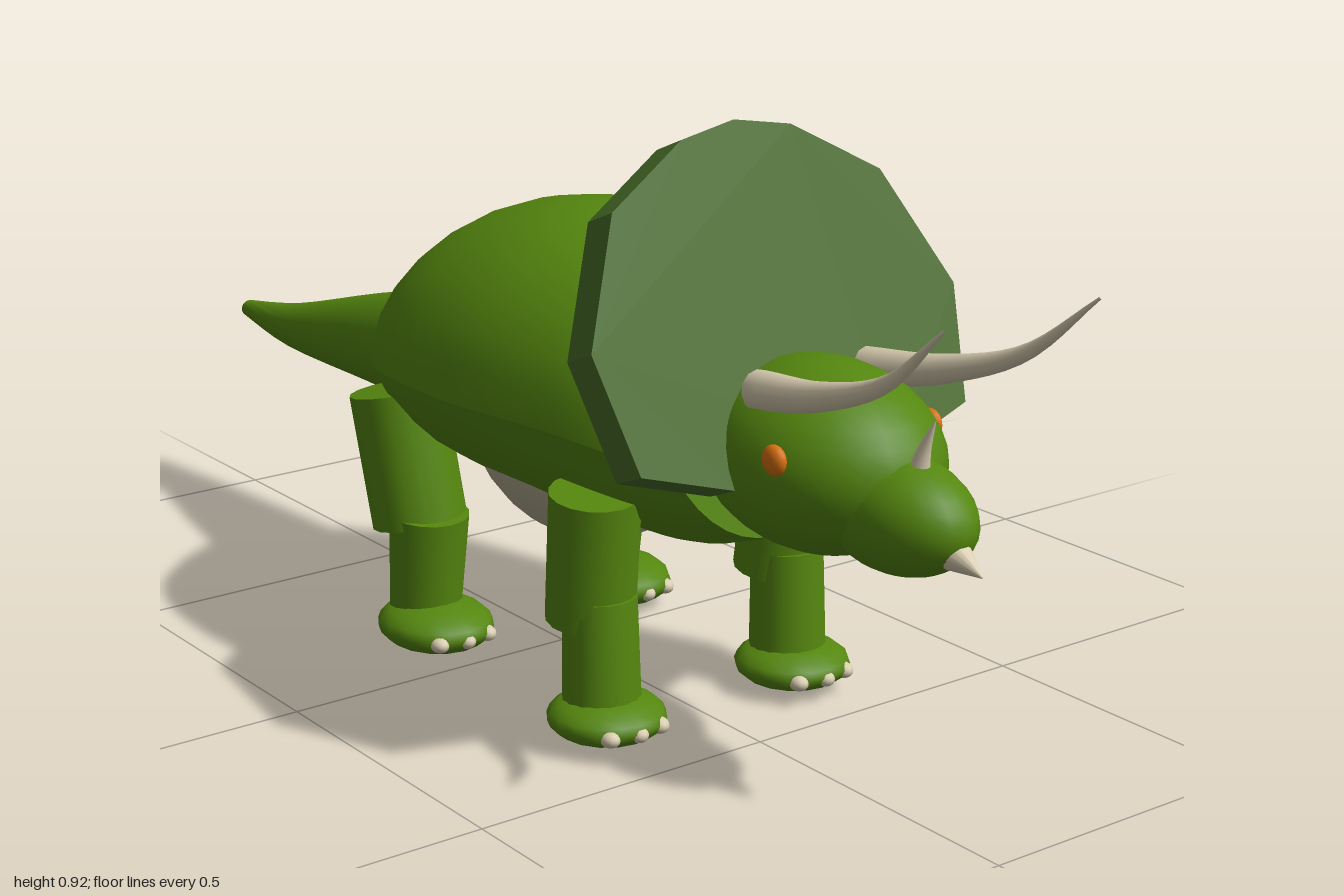
import * as THREE from 'three';
import { toCreasedNormals } from 'three/addons/utils/BufferGeometryUtils.js';

const mat = (name, color) => {
  const m = new THREE.MeshStandardMaterial({ color });
  m.name = name;
  return m;
};

// Skin through cross-sections running front to back.
// Row: [zTop, zBottom, yTop, yBottom, yWidest, halfWidth]; flat narrows the lower half into a ridge.
function loft(rows, flat, sub = 4, half = 14) {
  const n = half * 2, pos = [], idx = [], steps = (rows.length - 1) * sub;
  const cols = rows[0].map((_, c) => new THREE.SplineCurve(rows.map((r, i) => new THREE.Vector2(i, r[c]))));
  const mids = [];
  for (let i = 0; i <= steps; i++) {
    const [zt, zb, yt, yb, yc, w] = cols.map(c => c.getPoint(i / steps).y);
    const zAt = y => zb + (zt - zb) * (y - yb) / (yt - yb);
    for (let j = 0; j < n; j++) {
      let x, y;
      if (j <= half) {
        const a = Math.PI * j / half;
        x = w * Math.cos(a);
        y = yc + (yt - yc) * Math.sin(a);
      } else {
        const a = flat + (Math.PI - 2 * flat) * (j - half) / half;
        x = -w * Math.cos(a) / Math.cos(flat);
        y = yc - (yc - yb) * (Math.sin(a) - Math.sin(flat)) / (1 - Math.sin(flat));
      }
      pos.push(x, y, zAt(y));
    }
    mids.push([0, yc, zAt(yc)]);
  }
  for (let i = 0; i < steps; i++) for (let j = 0; j < n; j++) {
    const a = i * n + j, b = i * n + (j + 1) % n;
    idx.push(a, a + n, b, b, a + n, b + n);
  }
  // end caps
  const f = pos.length / 3, k = steps * n;
  pos.push(...mids[0], ...mids[steps]);
  for (let j = 0; j < n; j++) {
    const m = (j + 1) % n;
    idx.push(f, j, m, f + 1, k + m, k + j);
  }
  const g = new THREE.BufferGeometry();
  g.setAttribute('position', new THREE.Float32BufferAttribute(pos, 3));
  g.setIndex(idx);
  return toCreasedNormals(g, 0.42);
}

// Curved horn narrowing to a point
function hornGeometry(points, radius, segs = 16, sides = 12) {
  const curve = new THREE.CatmullRomCurve3(points.map(p => new THREE.Vector3(...p)));
  const g = new THREE.TubeGeometry(curve, segs, radius, sides), p = g.attributes.position;
  const v = new THREE.Vector3();
  for (let i = 0; i < p.count; i++) {
    const t = Math.floor(i / (sides + 1)) / segs, c = curve.getPointAt(t);
    v.fromBufferAttribute(p, i).sub(c).multiplyScalar(1 - 0.93 * t).add(c);
    p.setXYZ(i, v.x, v.y, v.z);
  }
  g.computeVertexNormals();
  return g;
}

export function createModel() {
  const model = new THREE.Group();
  model.name = 'hornedDinosaur';
  const skin = mat('skin green', 0x55870f);
  const frillMat = mat('frill green', 0x486b28);
  const ivory = mat('ivory', 0xd8ccb0);
  const bellyMat = mat('belly', 0xb4ae92);
  const orange = mat('eye orange', 0xd8700e);

  const add = (name, geo, m, parent = model) => {
    const mesh = new THREE.Mesh(geo, m);
    mesh.name = name;
    parent.add(mesh);
    return mesh;
  };
  const ball = (name, m, c, r, parent, ws = 24, hs = 16) => {
    const s = add(name, new THREE.SphereGeometry(1, ws, hs), m, parent);
    s.position.set(...c);
    s.scale.set(...r);
    return s;
  };
  // Straight cylinder or cone between two points
  const limb = (name, m, a, b, ra, rb, parent) => {
    const A = new THREE.Vector3(...a), B = new THREE.Vector3(...b), d = A.clone().sub(B);
    const s = add(name, new THREE.CylinderGeometry(ra, rb, d.length(), 16), m, parent);
    s.position.copy(A).add(B).multiplyScalar(0.5);
    s.quaternion.setFromUnitVectors(new THREE.Vector3(0, 1, 0), d.normalize());
    return s;
  };

  // Torso and tail
  add('body', loft([
    [0.46, 0.52, 0.61, 0.33, 0.45, 0.165],
    [0.40, 0.42, 0.66, 0.293, 0.465, 0.212],
    [0.29, 0.29, 0.718, 0.283, 0.478, 0.25],
    [0.09, 0.09, 0.75, 0.283, 0.48, 0.287],
    [-0.10, -0.09, 0.71, 0.283, 0.475, 0.275],
    [-0.245, -0.2, 0.618, 0.282, 0.45, 0.215],
    [-0.36, -0.29, 0.522, 0.282, 0.405, 0.115],
  ], 0.5), skin);
  ball('belly', bellyMat, [0, 0.41, 0.08], [0.18, 0.2, 0.225], model);
  add('tail', loft([
    [-0.33, -0.27, 0.52, 0.312, 0.415, 0.112],
    [-0.54, -0.52, 0.467, 0.31, 0.388, 0.085],
    [-0.82, -0.81, 0.388, 0.305, 0.346, 0.045],
    [-1.0, -1.0, 0.355, 0.325, 0.34, 0.016],
  ], 0), skin);

  // Head
  const head = new THREE.Group();
  head.name = 'head';
  model.add(head);
  ball('skull', skin, [0, 0.483, 0.62], [0.155, 0.138, 0.2], head);
  ball('snout', skin, [0, 0.44, 0.78], [0.086, 0.084, 0.132], head);
  limb('beakTip', ivory, [0, 0.395, 0.945], [0, 0.415, 0.885], 0.001, 0.028, head);
  add('noseHorn', hornGeometry([[0, 0.5, 0.815], [0, 0.54, 0.825], [0, 0.588, 0.845]], 0.017), ivory, head);
  for (const s of [-1, 1]) {
    const side = s > 0 ? 'left' : 'right';
    add(side + 'BrowHorn', hornGeometry([
      [s * 0.1, 0.587, 0.6], [s * 0.113, 0.615, 0.74], [s * 0.125, 0.668, 0.88], [s * 0.138, 0.768, 0.998],
    ], 0.03), ivory, head);
    ball(side + 'Eye', orange, [s * 0.143, 0.517, 0.685], [0.013, 0.022, 0.022], head, 16, 12);
  }

  // Leaning neck frill: an angular slab
  const right = [[0, 0.266], [0.1, 0.248], [0.245, 0.163], [0.333, -0.022], [0.3, -0.198], [0.15, -0.245], [0, -0.25]];
  const outline = [...right, ...right.slice(1, -1).reverse().map(([x, y]) => [-x, y])];
  const shape = new THREE.Shape(outline.map(p => new THREE.Vector2(...p)));
  const slab = new THREE.ExtrudeGeometry(shape, { depth: 0.06, bevelEnabled: false });
  slab.translate(0, 0, -0.06);
  const frill = add('frill', slab, frillMat);
  frill.position.set(0, 0.68, 0.517);
  frill.rotation.x = -0.403;

  // Legs
  for (const s of [-1, 1]) for (const front of [true, false]) {
    const leg = new THREE.Group();
    leg.name = (s > 0 ? 'left' : 'right') + (front ? 'Front' : 'Rear') + 'Leg';
    model.add(leg);
    const footZ = front ? 0.36 : -0.1;
    if (front) {
      limb('upperLeg', skin, [s * 0.188, 0.385, 0.34], [s * 0.18, 0.183, 0.318], 0.069, 0.068, leg);
      limb('lowerLeg', skin, [s * 0.18, 0.225, 0.342], [s * 0.18, 0.05, 0.348], 0.056, 0.06, leg);
    } else {
      limb('upperLeg', skin, [s * 0.195, 0.417, -0.182], [s * 0.18, 0.203, -0.142], 0.077, 0.077, leg);
      limb('lowerLeg', skin, [s * 0.18, 0.225, -0.115], [s * 0.18, 0.05, -0.13], 0.065, 0.058, leg);
    }
    ball('foot', skin, [s * 0.18, 0.041, footZ], [0.091, front ? 0.037 : 0.041, front ? 0.09 : 0.102], leg, 16, 10);
    for (const t of [-1, 0, 1]) {
      const z = footZ + (front ? 0.077 : 0.088) - 0.009 * Math.abs(t);
      ball('toenail', ivory, [s * 0.18 + t * 0.045, 0.037, z], [0.015, 0.013, 0.018], leg, 12, 8);
    }
  }
  return model;
}
